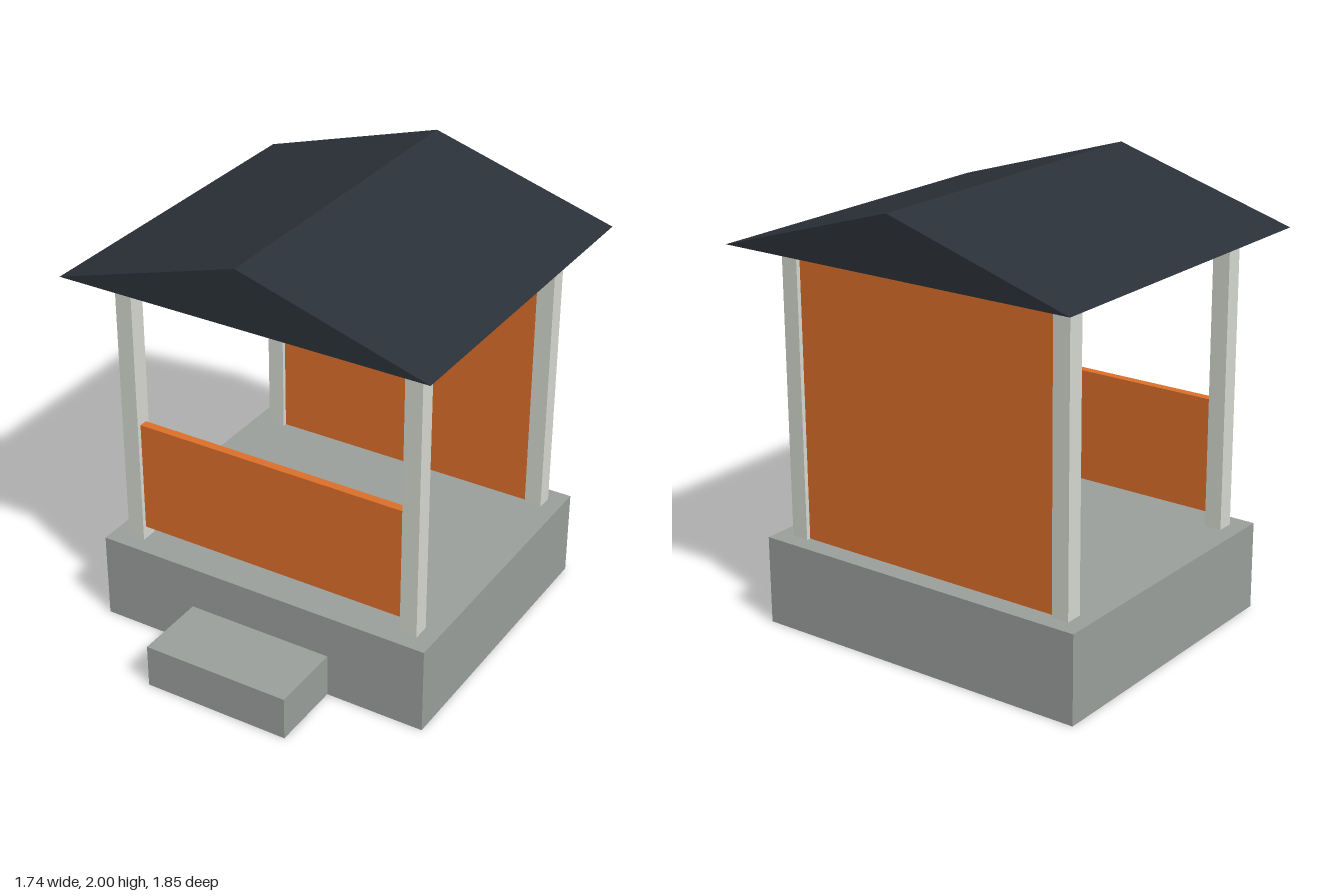
import * as THREE from 'three';

export function createModel() {
  const model = new THREE.Group();
  model.name = 'pavilion';

  const paint = (color) => new THREE.MeshStandardMaterial({ color, flatShading: true });
  const stone = paint(0x9a9f9c);
  const cream = paint(0xd5d8cf);
  const orange = paint(0xdd6f2a);
  const slate = paint(0x2b3138);

  const add = (name, geometry, material) => {
    const mesh = new THREE.Mesh(geometry, material);
    mesh.name = name;
    model.add(mesh);
    return mesh;
  };

  // box centred on x = 0 unless given, standing on height y
  const box = (name, material, w, h, d, y, z, x = 0) =>
    add(name, new THREE.BoxGeometry(w, h, d), material).position.set(x, y + h / 2, z);

  const midZ = -0.115;   // centre of the platform
  const postOff = 0.58;  // post distance from centre along z
  const floorY = 0.405;
  const eaveY = 1.74;

  // base and entrance step
  box('platform', stone, 1.625, floorY, 1.39, 0, midZ);
  box('step', stone, 0.695, 0.203, 0.345, 0, 0.7525);

  // four corner posts
  for (const sx of [-1, 1]) {
    for (const sz of [-1, 1]) {
      const name = (sz > 0 ? 'front' : 'back') + (sx > 0 ? 'Left' : 'Right') + 'Post';
      box(name, cream, 0.08, eaveY - floorY, 0.08, floorY, midZ + sz * postOff, sx * 0.695);
    }
  }

  // low front railing panel and tall back wall, set between the posts
  box('frontPanel', orange, 1.31, 0.525, 0.04, 0.465, midZ + postOff);
  box('backWall', orange, 1.31, 1.277, 0.04, floorY, midZ - postOff);

  // solid gable roof
  const gable = new THREE.Shape([
    new THREE.Vector2(-0.868, eaveY),
    new THREE.Vector2(0.868, eaveY),
    new THREE.Vector2(0, 2),
  ]);
  const depth = 1.62;
  const roof = add('roof', new THREE.ExtrudeGeometry(gable, { depth, bevelEnabled: false }), slate);
  roof.position.z = midZ - depth / 2;

  return model;
}
